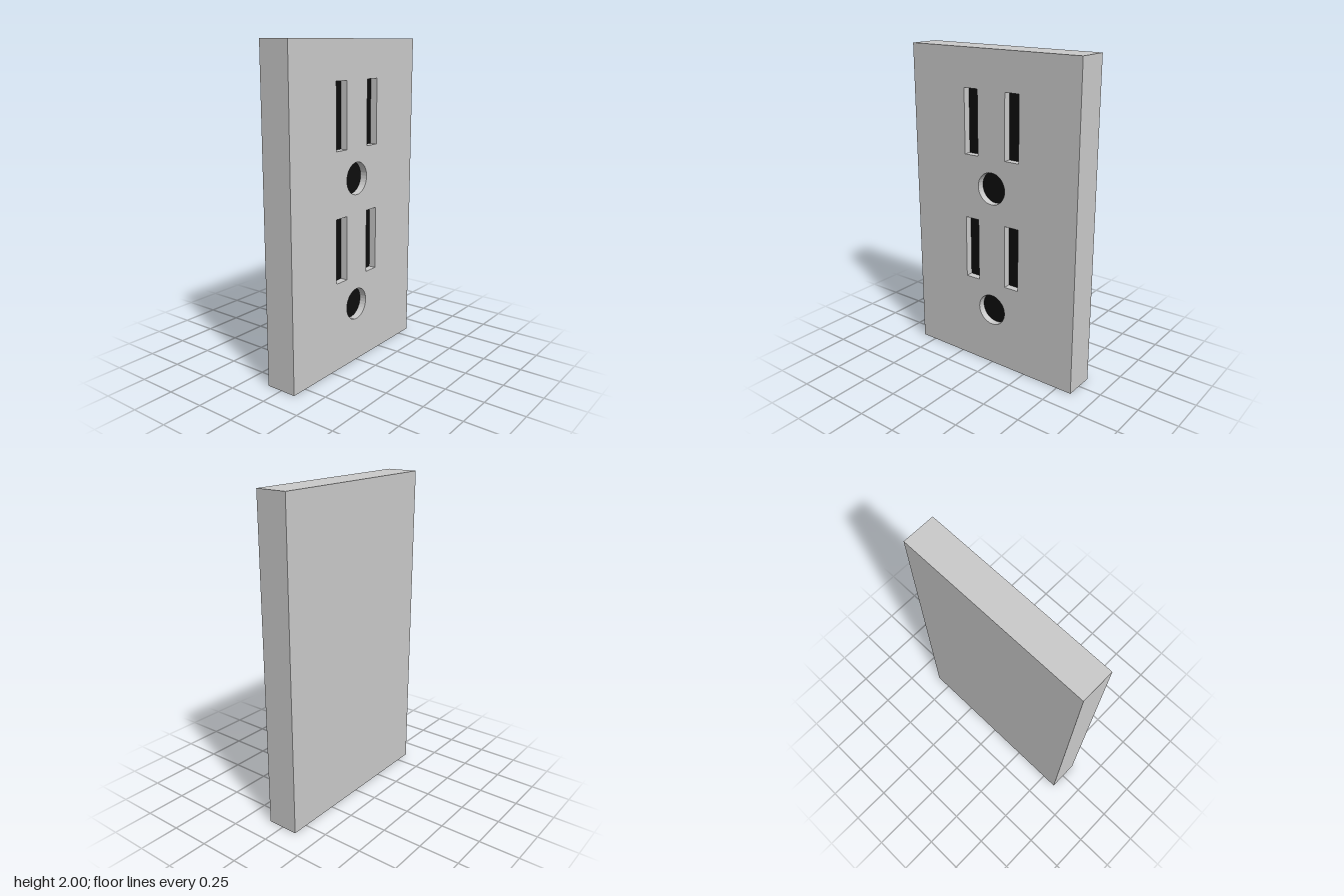
import * as THREE from 'three';

const WIDTH = 1.2, HEIGHT = 2, THICK = 0.2, DEPTH = 0.045;
const FACE = THICK / 2;

// Counter-clockwise outlines in the plane of the plate
function rectPoints(cx, cy, w, h) {
  return [[-1, -1], [1, -1], [1, 1], [-1, 1]].map(
    ([sx, sy]) => new THREE.Vector2(cx + sx * w / 2, cy + sy * h / 2));
}

function circlePoints(cx, cy, r, n = 32) {
  return Array.from({ length: n }, (_, i) => {
    const a = i / n * Math.PI * 2;
    return new THREE.Vector2(cx + r * Math.cos(a), cy + r * Math.sin(a));
  });
}

// Inward-facing walls running from the face down to the recess floor
function recessWalls(points) {
  const pos = [];
  points.forEach((p, i) => {
    const q = points[(i + 1) % points.length];
    const top = FACE, low = FACE - DEPTH;
    pos.push(p.x, p.y, top, q.x, q.y, top, q.x, q.y, low);
    pos.push(p.x, p.y, top, q.x, q.y, low, p.x, p.y, low);
  });
  const geo = new THREE.BufferGeometry();
  geo.setAttribute('position', new THREE.Float32BufferAttribute(pos, 3));
  geo.computeVertexNormals();
  return geo;
}

export function createModel() {
  const plateGrey = new THREE.MeshStandardMaterial({ color: 0xcacaca });
  plateGrey.name = 'plateGrey';
  const recessBlack = new THREE.MeshStandardMaterial({ color: 0x0d0d0d });
  recessBlack.name = 'recessBlack';

  const model = new THREE.Group();
  model.name = 'wallOutlet';
  const plate = new THREE.Group();
  plate.name = 'plate';
  plate.rotation.y = Math.PI / 2; // the socket face looks along +x
  model.add(plate);

  const add = (name, geo, material, parent = plate) => {
    const mesh = new THREE.Mesh(geo, material);
    mesh.name = name;
    parent.add(mesh);
    return mesh;
  };

  // Plate sides and back: a box with its socket face left open
  const body = new THREE.BoxGeometry(WIDTH, HEIGHT, THICK).translate(0, HEIGHT / 2, 0);
  const index = Array.from(body.index.array);
  index.splice(24, 6);
  body.setIndex(index);
  body.clearGroups();
  add('plateBody', body, plateGrey);

  // Two sockets, each with two blade slots and a round ground hole
  const face = new THREE.Shape(rectPoints(0, HEIGHT / 2, WIDTH, HEIGHT));
  [['upper', 1.18], ['lower', 0.377]].forEach(([label, y]) => {
    const socket = new THREE.Group();
    socket.name = label + 'Socket';
    plate.add(socket);
    const recesses = [
      ['leftSlot', rectPoints(-0.15, y + 0.386, 0.1, 0.4)],
      ['rightSlot', rectPoints(0.15, y + 0.386, 0.1, 0.4)],
      ['groundHole', circlePoints(0, y, 0.1)],
    ];
    recesses.forEach(([name, points]) => {
      face.holes.push(new THREE.Path(points));
      add(name + 'Walls', recessWalls(points), plateGrey, socket);
      const floor = new THREE.ShapeGeometry(new THREE.Shape(points));
      add(name + 'Floor', floor.translate(0, 0, FACE - DEPTH), recessBlack, socket);
    });
  });

  // Pierced socket face
  add('plateFace', new THREE.ShapeGeometry(face).translate(0, 0, FACE), plateGrey);

  return model;
}
